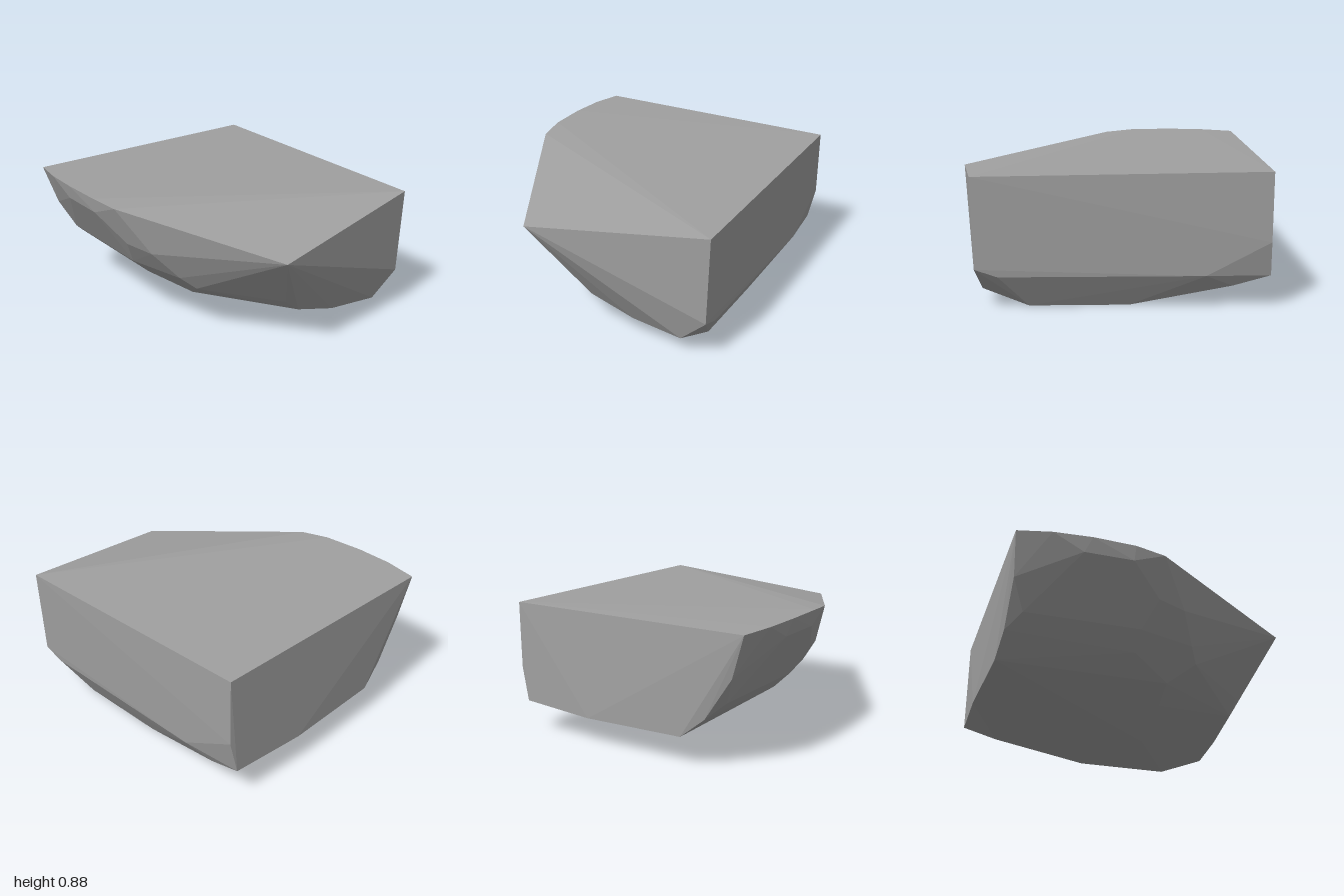
import * as THREE from 'three';
import { ConvexGeometry } from 'three/addons/geometries/ConvexGeometry.js';

export function createModel() {
  const group = new THREE.Group();
  group.name = 'boulder';
  const stone = new THREE.MeshStandardMaterial({ color: 0xa0a0a0 });
  stone.name = 'grey stone';

  // Corners of the faceted stone, by region
  const corners = [
    // broad top and the chipped right corner
    [-0.97, 0.86, -0.87], [0.83, 0.84, -0.88], [1, 0.71, 0.29], [-0.02, 0.865, 0.83],
    [-0.22, 0.88, 0.863], [-0.5, 0.882, 0.872], [-0.75, 0.878, 0.86], [-0.97, 0.87, 0.82],
    // flat cleaved side
    [-0.97, 0.43, -0.87], [-0.98, 0.21, -0.82], [-1, 0.19, -0.3], [-0.98, 0.2, 0.39],
    [-0.96, 0.33, 0.55], [-0.95, 0.6, 0.73],
    // rounded front
    [-0.55, 0.78, 0.85], [-0.23, 0.78, 0.85], [-0.03, 0.6, 0.74], [0.16, 0.58, 0.68],
    [-0.87, 0.42, 0.645], [-0.12, 0.42, 0.645], [0.26, 0.41, 0.54], [-0.12, 0.31, 0.53],
    [0.32, 0.33, 0.45], [0.15, 0.21, 0.36],
    // tapering side and underside
    [0.76, 0.3, 0.08], [0.76, 0.21, -0.03], [0.76, 0.12, -0.33], [0.79, 0.1, -0.68],
    [0.16, 0.13, 0.18], [0.16, 0.015, -0.2], [0.5, 0, -0.73], [-0.12, 0, -0.73],
    // lower back edge
    [0.82, 0.27, -0.86], [0.68, 0.22, -0.855], [-0.58, 0.22, -0.86], [-0.75, 0.14, -0.8],
  ].map((p) => new THREE.Vector3(...p));

  const rock = new THREE.Mesh(new ConvexGeometry(corners), stone);
  rock.name = 'rock';
  group.add(rock);
  return group;
}
